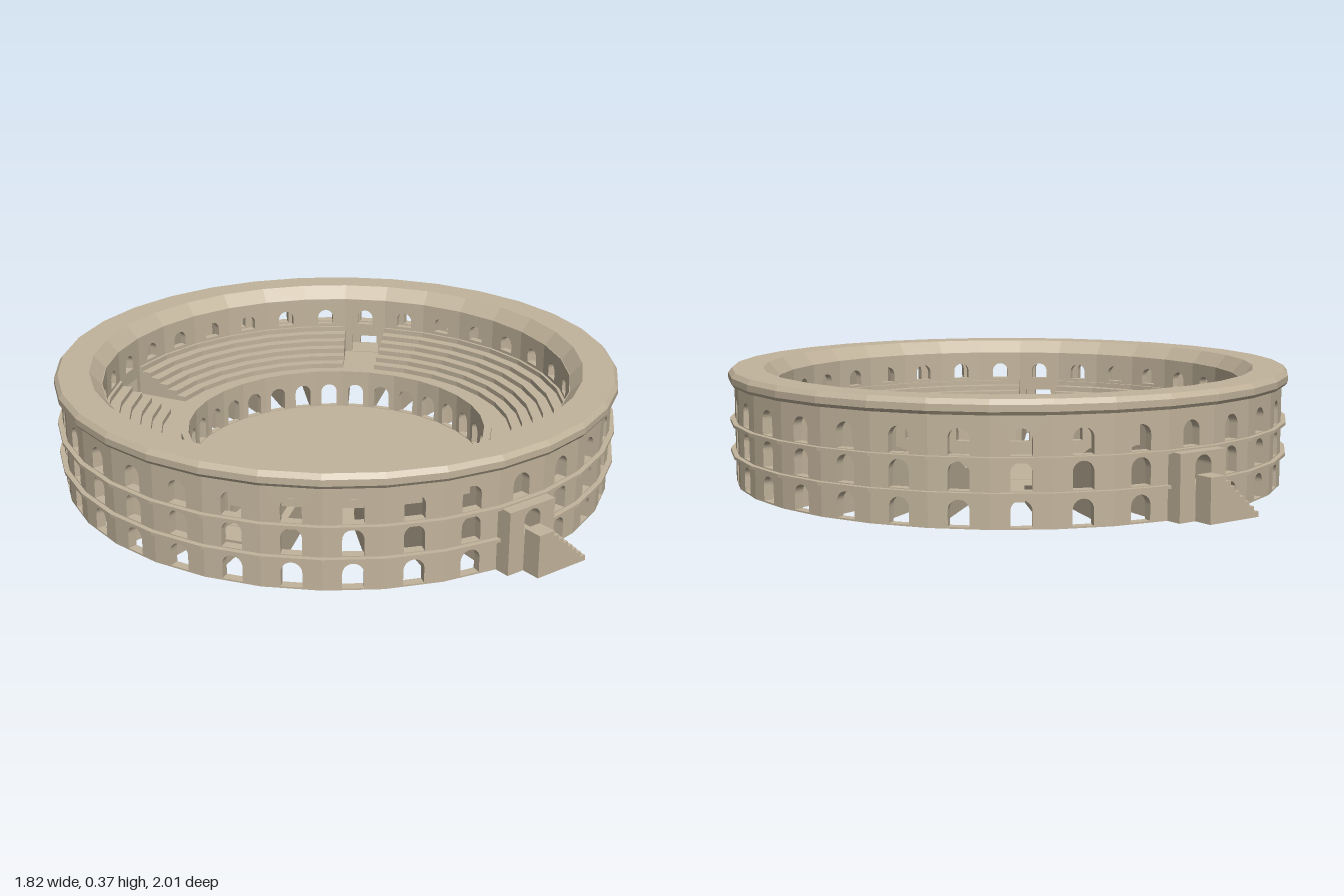
import * as THREE from 'three';
import { mergeGeometries } from 'three/addons/utils/BufferGeometryUtils.js';

const BAYS = 32;
const STEP = (Math.PI * 2) / BAYS;
const GAPS = [3, 12, 19, 27]; // bays with an entrance instead of seats
const WALK = 0.12; // height of the walkway
const ROWS = 6, ROW_R = 0.58, ROW_DEPTH = 0.034, ROW_RISE = 0.0167;

// round-headed opening
function archHole(width, y0, y1) {
  const h = width / 2;
  const p = new THREE.Path();
  p.moveTo(-h, y0);
  p.lineTo(h, y0);
  p.lineTo(h, y1 - h);
  p.absarc(0, y1 - h, h, 0, Math.PI, false);
  p.lineTo(-h, y0);
  return p;
}

function polygon(points) {
  return new THREE.Shape(points.map(([x, y]) => new THREE.Vector2(x, y)));
}

function extrude(shape, depth, z) {
  const g = new THREE.ExtrudeGeometry(shape, { depth, bevelEnabled: false, curveSegments: 8 });
  return g.translate(0, 0, z);
}

// flat wall panel of one bay; radius is measured at the panel's corners
function panel(radius, y0, y1, depth, z, holes) {
  const h = radius * Math.sin(STEP / 2);
  const s = polygon([[-h, y0], [h, y0], [h, y1], [-h, y1]]);
  s.holes.push(...holes);
  return extrude(s, depth, z);
}

const apothem = (r) => r * Math.cos(STEP / 2);

function lathe(points, firstBay = 0, bays = BAYS) {
  return new THREE.LatheGeometry(points.map(([r, y]) => new THREE.Vector2(r, y)), bays, firstBay * STEP, bays * STEP);
}

// stepped line of the seat rows, from the walkway up to the inner wall
function rowProfile() {
  const pts = [[ROW_R, WALK]];
  for (let i = 0; i < ROWS; i++) {
    const r = ROW_R + i * ROW_DEPTH, y = WALK + (i + 1) * ROW_RISE;
    pts.push([r, y], [i === ROWS - 1 ? 0.765 : r + ROW_DEPTH, y]);
  }
  return pts;
}

export function createModel() {
  const model = new THREE.Group();
  model.name = 'amphitheatre';
  const stone = new THREE.MeshStandardMaterial({ color: 0xc2b49c, flatShading: true, side: THREE.DoubleSide });
  stone.name = 'sandstone';

  const add = (name, geometries) => {
    const list = [].concat(geometries);
    const mesh = new THREE.Mesh(list.length > 1 ? mergeGeometries(list) : list[0], stone);
    mesh.name = name;
    model.add(mesh);
  };
  const around = (make) => Array.from({ length: BAYS }, (_, k) => make(k));

  // outer wall with three storeys of arches
  add('outerWall', around((k) => panel(0.893, 0, 0.33, 0.03, apothem(0.893) - 0.03, [
    archHole(0.062, 0.005, 0.083),
    archHole(0.062, 0.108, 0.19),
    archHole(0.062, 0.207, 0.284),
  ]).rotateY((k + 0.5) * STEP)));

  // string courses
  for (const y of [0.1, 0.2]) {
    add('stringCourse', lathe([[0.885, y - 0.005], [0.909, y - 0.005], [0.909, y + 0.005], [0.885, y + 0.005]]));
  }

  // cornice sloping down to the inner wall
  add('cornice', lathe([[0.76, 0.322], [0.905, 0.322], [0.912, 0.332], [0.912, 0.352],
    [0.9, 0.367], [0.8, 0.367], [0.76, 0.322]]));

  // upper inner wall; it reaches down to a doorway at each entrance bay
  add('innerWall', around((k) => {
    const holes = [archHole(0.055, 0.23, 0.284)];
    const gap = GAPS.includes(k);
    if (gap) holes.push(polygon([[-0.05, WALK + 0.002], [0.05, WALK + 0.002], [0.05, 0.185], [-0.05, 0.185]]));
    return panel(0.76, gap ? WALK : 0.205, 0.325, 0.025, apothem(0.76), holes).rotateY((k + 0.5) * STEP);
  }));

  // radial walls carrying the seats
  add('radialWalls', around((k) => {
    const atGap = GAPS.includes(k) || GAPS.includes((k + BAYS - 1) % BAYS);
    const slope = atGap ? [[0.77, WALK - 0.004]] : [[0.77, 0.205], [ROW_R, WALK - 0.004]];
    const s = polygon([[0.5, 0], [0.872, 0], [0.872, 0.325], [0.77, 0.325], ...slope, [0.5, WALK - 0.004]]);
    return extrude(s, 0.042, -0.021).rotateY(-Math.PI / 2 + k * STEP);
  }));

  // podium wall around the arena, with arches and a parapet
  add('podiumWall', around((k) => panel(0.49, 0, 0.13, 0.02, apothem(0.49),
    [archHole(0.055, 0.008, 0.09)]).rotateY((k + 0.5) * STEP)));
  add('podiumParapet', lathe([[0.49, 0.115], [0.514, 0.115], [0.514, 0.14], [0.49, 0.14], [0.49, 0.115]]));
  add('arenaFloor', lathe([[0, 0], [0.49, 0], [0.49, 0.006], [0, 0.006]]));

  // walkway and entrance floors
  add('walkway', lathe([[0.51, WALK], [ROW_R, WALK]]));
  for (const k of GAPS) add('entranceFloor', lathe([[ROW_R, WALK], [0.87, WALK]], k, 1));

  // four blocks of seat rows with stepped end walls
  GAPS.forEach((gap, i) => {
    const first = gap + 1;
    const next = GAPS[(i + 1) % GAPS.length] + (i === GAPS.length - 1 ? BAYS : 0);
    add('seatRows', lathe(rowProfile(), first, next - first));
    for (const k of [first, next]) {
      const end = new THREE.ShapeGeometry(polygon([...rowProfile(), [0.765, WALK]]));
      add('seatEnd', end.rotateY(-Math.PI / 2 + k * STEP));
    }
  });

  // front and back porches, each with a side stair
  const steps = 8, rise = 0.135 / steps, tread = 0.0188;
  for (const bay of [0, 15]) {
    const angle = (bay + 0.5) * STEP;
    add('porch', panel(0.893, 0, 0.2, 0.06, 0.88, [archHole(0.062, 0.108, 0.19)]).rotateY(angle));
    const pts = [[-0.028, 0], [-0.028, 0.135], [0.03, 0.135]];
    for (let i = 1; i <= steps; i++) {
      const x = 0.03 + (i - 1) * tread, y = 0.135 - i * rise;
      pts.push([x, y]);
      if (i < steps) pts.push([x + tread, y]);
    }
    add('porchStair', extrude(polygon(pts), 0.062, 0.94).rotateY(angle));
  }

  return model;
}
